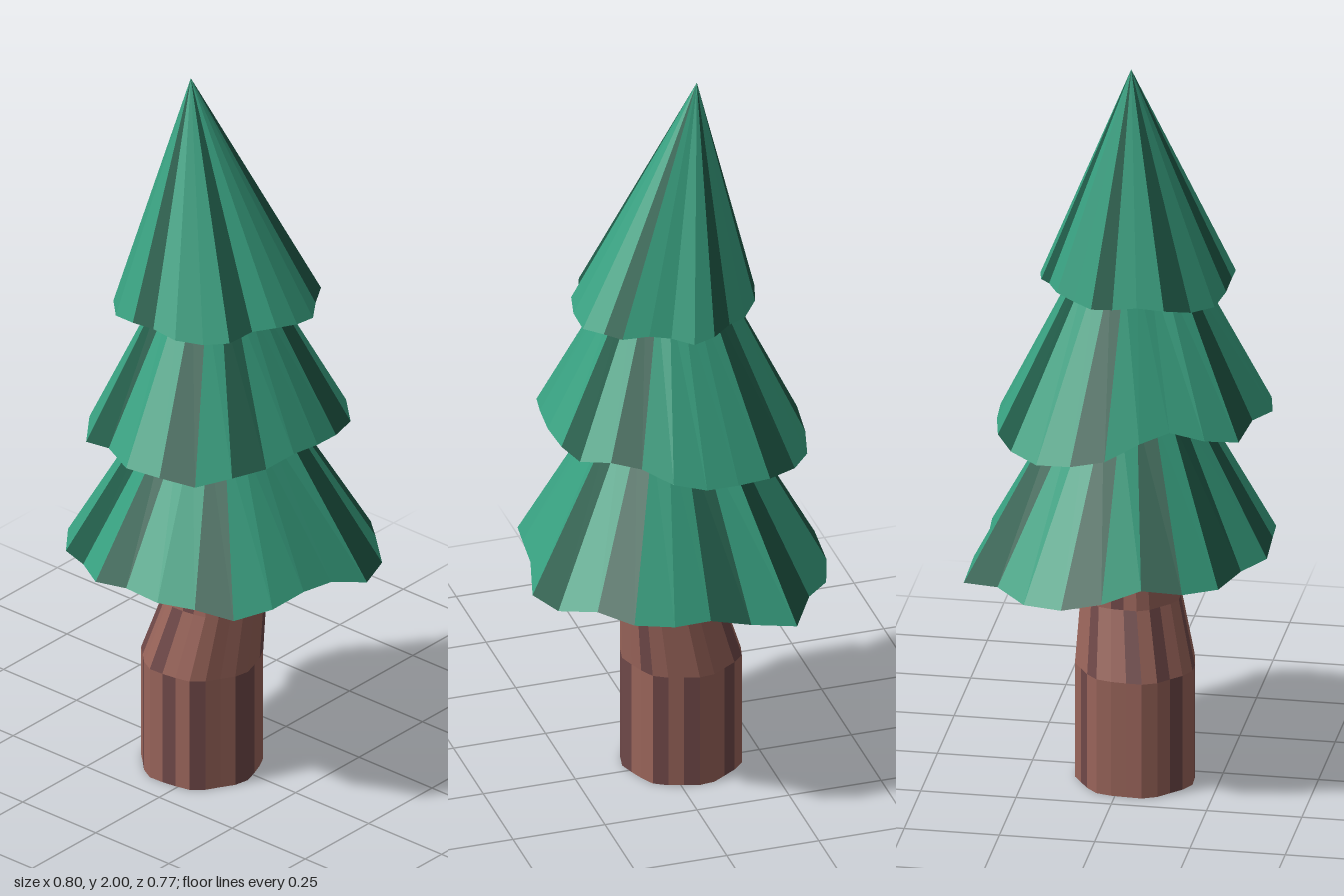
import * as THREE from 'three';

const mat = (color) => new THREE.MeshStandardMaterial({ color, flatShading: true });
const leaf = mat(0x38a080), leafDark = mat(0x1f5a47);
const bark = mat(0x99645a), barkDark = mat(0x6f4848);

// Ring of n points around (cx, cz), running from +x to +z.
const makeRing = (n, cx, cz, radius, height) => Array.from({ length: n }, (_, i) => {
  const a = (i / n) * Math.PI * 2;
  return [cx + radius(i, a) * Math.cos(a), height(i, a), cz + radius(i, a) * Math.sin(a)];
});

// Joins rings from bottom to top, closes the bottom, and sorts the panels into two colours.
function buildRings(name, rings, capCentre, isDark, light, dark) {
  const corners = new Map([[light, []], [dark, []]]);
  const base = rings[0];
  base.forEach((_, i) => {
    const j = (i + 1) % base.length;
    for (let r = 0; r < rings.length - 1; r++) {
      const a = rings[r], b = rings[r + 1];
      corners.get(isDark(i, r) ? dark : light).push(a[i], b[i], b[j], a[i], b[j], a[j]);
    }
    corners.get(light).push(capCentre, base[i], base[j]);
  });
  const group = new THREE.Group();
  group.name = name;
  for (const [material, points] of corners) {
    const g = new THREE.BufferGeometry();
    g.setAttribute('position', new THREE.Float32BufferAttribute(points.flat(), 3));
    g.computeVertexNormals();
    const mesh = new THREE.Mesh(g, material);
    mesh.name = name + (material === light ? 'Panels' : 'Stripes');
    group.add(mesh);
  }
  return group;
}

// Branch skirts: uneven rim radii at equal angles, rim height, sag, and the upper ring.
const tiers = [
  {
    name: 'lowerBranches', y: 0.652, sag: 0.045, flare: 0.6, top: [0, 1.05, 0.01], scale: 0.42,
    dark: [3, 6, 8, 10, 12, 15, 17, 20, 22],
    rim: [0.372, 0.375, 0.396, 0.405, 0.378, 0.385, 0.38, 0.396, 0.381, 0.406, 0.407, 0.38,
      0.4, 0.412, 0.42, 0.412, 0.452, 0.4, 0.366, 0.387, 0.405, 0.396, 0.42, 0.415],
  },
  {
    name: 'middleBranches', y: 1.042, sag: 0.055, flare: 0.7, top: [-0.005, 1.44, 0.015], scale: 0.39,
    dark: [2, 4, 7, 12, 15, 20, 22],
    rim: [0.325, 0.33, 0.346, 0.35, 0.373, 0.373, 0.38, 0.355, 0.373, 0.345, 0.312, 0.326,
      0.352, 0.357, 0.37, 0.37, 0.358, 0.34, 0.334, 0.328, 0.313, 0.32, 0.337, 0.326],
  },
  {
    name: 'topBranches', y: 1.388, sag: 0.01, flare: 0.15, top: [-0.088, 2, 0.024], scale: 0,
    dark: [2, 6, 9, 12, 16, 21],
    rim: [0.255, 0.249, 0.235, 0.257, 0.265, 0.28, 0.273, 0.28, 0.292, 0.283, 0.27, 0.247,
      0.237, 0.227, 0.217, 0.225, 0.217, 0.225, 0.23, 0.208, 0.222, 0.255, 0.245, 0.26],
  },
];

function makeTier({ name, y, sag, flare, top, scale, dark, rim }) {
  const n = rim.length;
  const mean = rim.reduce((s, r) => s + r, 0) / n;
  // The rim waves, and sags towards the back left corner and where it flares out.
  const rimHeight = (i, a) => y - flare * (rim[i] - mean) + 0.01 * Math.sin(5 * a)
    - sag * Math.max(0, -0.6 * Math.cos(a) - 0.8 * Math.sin(a));
  const lower = makeRing(n, 0, 0, (i) => rim[i], rimHeight);
  const upper = makeRing(n, top[0], top[2], (i) => rim[i] * scale, () => top[1]);
  return buildRings(name, [lower, upper], [0, y, 0], (i) => dark.includes(i), leaf, leafDark);
}

// Bent, slightly fluted trunk: centre x, y, centre z, radius per ring.
function makeTrunk() {
  const sections = [[-0.047, 0, 0.03, 0.156], [-0.047, 0.32, 0.03, 0.156],
    [-0.014, 0.5, 0.013, 0.13], [-0.013, 0.74, 0.01, 0.107]];
  const rings = sections.map(([cx, y, cz, r]) => makeRing(24, cx, cz,
    (i, a) => r * (1 + 0.03 * Math.sin(a * 7 + 1)), () => y));
  return buildRings('trunk', rings, [-0.047, 0, 0.03],
    (i, r) => (i * 7 + r * 3) % 5 < 2 && i % 3 !== 1, bark, barkDark);
}

export function createModel() {
  const model = new THREE.Group();
  model.name = 'pineTree';
  model.add(makeTrunk(), ...tiers.map(makeTier));
  return model;
}
